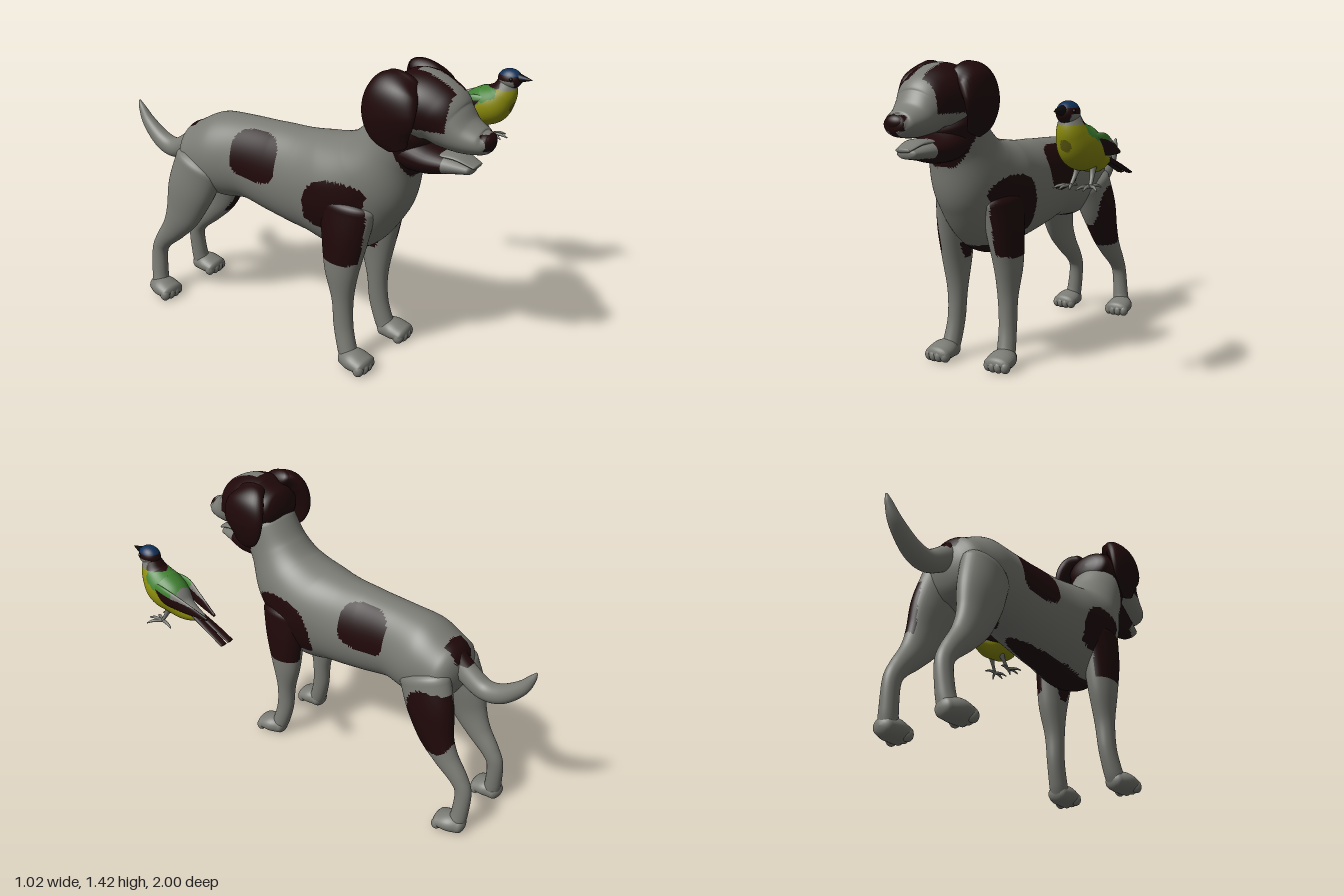
import * as THREE from 'three';

const mat = (name, color) => {
  const m = new THREE.MeshStandardMaterial({ color });
  m.name = name;
  return m;
};

// Smooth closed tube through sections [x, y, z, halfWidth, upperDepth, lowerDepth] with rounded ends.
function loft(sections, { rings = 44, sides = 32, cap = 0.6 } = {}) {
  const spine = new THREE.CatmullRomCurve3(sections.map(s => new THREE.Vector3(s[0], s[1], s[2])));
  const radii = new THREE.CatmullRomCurve3(sections.map(s => new THREE.Vector3(s[3], s[4], s[5] ?? s[4])));
  spine.curveType = radii.curveType = 'catmullrom';
  const steps = [], capRings = 5;
  for (let k = 0; k < capRings; k++) steps.push([0, k / capRings - 1]);
  for (let k = 0; k <= rings; k++) steps.push([k / rings, 0]);
  for (let k = 1; k <= capRings; k++) steps.push([1, k / capRings]);
  const pos = [], index = [];
  for (const [t, e] of steps) {
    const T = spine.getTangent(t), r = radii.getPoint(t);
    const S = new THREE.Vector3(1, 0, 0).addScaledVector(T, -T.x).normalize();
    const U = T.clone().cross(S);
    const a = e * Math.PI / 2, k = Math.cos(a);
    const c = spine.getPoint(t).addScaledVector(T, Math.sin(a) * cap * Math.min(r.x, r.y));
    for (let j = 0; j < sides; j++) {
      const b = j / sides * Math.PI * 2, depth = Math.sin(b) > 0 ? r.y : r.z;
      const p = c.clone().addScaledVector(S, r.x * k * Math.cos(b)).addScaledVector(U, depth * k * Math.sin(b));
      pos.push(p.x, p.y, p.z);
    }
  }
  for (let i = 0; i < steps.length - 1; i++) for (let j = 0; j < sides; j++) {
    const a = i * sides + j, b = i * sides + (j + 1) % sides;
    index.push(a, b, a + sides, b, b + sides, a + sides);
  }
  const g = new THREE.BufferGeometry();
  g.setAttribute('position', new THREE.Float32BufferAttribute(pos, 3));
  g.setIndex(index);
  g.computeVertexNormals();
  return g;
}

// Sorts faces into material groups; rule(x, y, z) returns the material for a face centre.
function painted(geo, rule) {
  const p = geo.attributes.position, idx = geo.index.array, buckets = new Map();
  for (let i = 0; i < idx.length; i += 3) {
    const f = [idx[i], idx[i + 1], idx[i + 2]];
    const mean = get => f.reduce((s, v) => s + get(v), 0) / 3;
    const m = rule(mean(v => p.getX(v)), mean(v => p.getY(v)), mean(v => p.getZ(v)));
    if (!buckets.has(m)) buckets.set(m, []);
    buckets.get(m).push(...f);
  }
  const all = [], mats = [...buckets.keys()];
  mats.forEach((m, k) => {
    geo.addGroup(all.length, buckets.get(m).length, k);
    for (const v of buckets.get(m)) all.push(v);
  });
  geo.setIndex(all);
  return new THREE.Mesh(geo, mats);
}

function ball(x, y, z, rx, ry, rz, detail = 18) {
  return new THREE.SphereGeometry(1, detail, detail * 0.75).scale(rx, ry, rz).translate(x, y, z);
}

export function createModel() {
  const coat = mat('paleCoat', 0x7b7b75), brown = mat('darkBrown', 0x200809), dark = mat('eyeBlack', 0x0d0909);
  const yellow = mat('yellow', 0x8c8c0c), olive = mat('olive', 0x5f5c10), green = mat('green', 0x3f8030), blue = mat('blue', 0x0f3058);
  const model = new THREE.Group();
  const dog = new THREE.Group(), bird = new THREE.Group();
  dog.name = 'dog';
  bird.name = 'bird';
  dog.position.x = -0.275;
  bird.position.x = 0.405;
  model.add(dog, bird);

  const add = (group, name, geo, paint) => {
    const mesh = typeof paint === 'function' ? painted(geo, paint) : new THREE.Mesh(geo, paint);
    mesh.name = name;
    group.add(mesh);
  };
  const mirror = (rows, s) => rows.map(r => [r[0] * s, ...r.slice(1)]);

  // Coat markings shared by all dog parts; the thigh spot is on the left only
  const spot = (z, y, cz, cy, rz, ry, p) => Math.abs((z - cz) / rz) ** p + Math.abs((y - cy) / ry) ** p < 1;
  const markings = (x, y, z) => {
    const w = Math.abs(x);
    if (w > 0.06 && spot(z, y, -0.13, 0.895, 0.135, 0.11, 3.2)) return brown;
    if (w > (x > 0 ? 0.145 : 0.165) && spot(z, y, 0.365, 0.715, 0.19, 0.19, 2.6)) return brown;
    if (x > 0.11 && spot(z, y, -0.575, 0.59, 0.13, 0.165, 3)) return brown;
    if (w < 0.065 && z < -0.55 && z > -0.68 && y > 0.865) return brown;
    if (w < 0.085 && z < 0.45 && z > -0.37 && y < 0.59 - 0.1 * Math.min(z, 0.15) && y > 0.5) return brown;
    if (y > 0.955 && z > 0.5 + (1.4 - y) * 0.33) return brown;
    return coat;
  };
  const faceMarkings = (x, y, z) => {
    const w = Math.abs(x);
    if (z > 0.95 && y < 1.2 && w < (y > 1.135 ? 0.052 : 0.018)) return brown;
    if (z > 0.78 && y < 1.104 && w < 0.085) return brown;
    if (z > 0.83 || (z > 0.65 && w < 0.032 + Math.max(0, 1.27 - y) * 0.7)) return coat;
    return y < 1.2 && y > 1.09 && z > 0.65 ? coat : brown;
  };

  // Torso and neck
  add(dog, 'torso', loft([
    [0, 0.80, -0.56, 0.16, 0.15], [0, 0.81, -0.42, 0.178, 0.205], [0, 0.825, -0.25, 0.158, 0.205],
    [0, 0.81, -0.07, 0.165, 0.225], [0, 0.81, 0.10, 0.18, 0.228, 0.258], [0, 0.841, 0.274, 0.2, 0.222, 0.325],
    [0, 0.929, 0.428, 0.182, 0.185, 0.25], [0, 1.05, 0.53, 0.15, 0.155, 0.155], [0, 1.18, 0.60, 0.14, 0.135, 0.14],
  ], { rings: 124, sides: 88, cap: 0.5 }), markings);

  // Tail
  add(dog, 'tail', loft([
    [0, 0.89, -0.55, 0.05, 0.06], [0, 0.81, -0.655, 0.052, 0.055], [0, 0.765, -0.75, 0.05, 0.05],
    [0, 0.785, -0.84, 0.045, 0.047], [0, 0.86, -0.93, 0.033, 0.035], [0, 0.93, -0.975, 0.018, 0.02],
    [0, 0.968, -0.993, 0.006, 0.006],
  ]), markings);

  // Head, lower jaw, tongue and nose
  add(dog, 'head', loft([
    [0, 1.285, 0.53, 0.12, 0.09], [0, 1.275, 0.59, 0.155, 0.13], [0, 1.27, 0.67, 0.16, 0.145],
    [0, 1.245, 0.75, 0.14, 0.135], [0, 1.205, 0.81, 0.117, 0.11], [0, 1.175, 0.87, 0.10, 0.08],
    [0, 1.16, 0.94, 0.078, 0.056], [0, 1.162, 0.972, 0.056, 0.042],
  ], { rings: 80, sides: 72, cap: 0.45 }), faceMarkings);
  add(dog, 'lowerJaw', loft([
    [0, 1.07, 0.62, 0.125, 0.09], [0, 1.045, 0.72, 0.108, 0.068], [0, 1.04, 0.82, 0.078, 0.042],
    [0, 1.035, 0.90, 0.052, 0.024],
  ]), (x, y, z) => (z > 0.8 && y > 1.012 ? coat : brown));
  add(dog, 'tongue', loft([
    [0, 1.075, 0.74, 0.06, 0.014], [0, 1.078, 0.84, 0.056, 0.014], [0, 1.05, 0.925, 0.04, 0.01],
  ], { rings: 16 }), coat);
  add(dog, 'nose', ball(0, 1.17, 0.965, 0.05, 0.034, 0.032, 28), brown);

  const frontLeg = [
    [0.125, 0.78, 0.38, 0.078, 0.14], [0.14, 0.64, 0.375, 0.074, 0.115], [0.147, 0.48, 0.365, 0.062, 0.085],
    [0.145, 0.33, 0.37, 0.047, 0.052], [0.148, 0.2, 0.377, 0.041, 0.047], [0.155, 0.1, 0.40, 0.043, 0.045],
    [0.16, 0.05, 0.42, 0.045, 0.045],
  ];
  const hindLeg = [
    [0.112, 0.77, -0.49, 0.085, 0.14], [0.13, 0.63, -0.545, 0.077, 0.13], [0.14, 0.5, -0.595, 0.06, 0.1],
    [0.14, 0.4, -0.66, 0.05, 0.068], [0.138, 0.31, -0.74, 0.041, 0.047], [0.14, 0.24, -0.775, 0.037, 0.042],
    [0.15, 0.12, -0.775, 0.04, 0.042], [0.16, 0.05, -0.765, 0.045, 0.045],
  ];
  const ear = [
    [0.09, 1.38, 0.62, 0.045, 0.08], [0.15, 1.34, 0.61, 0.052, 0.115], [0.178, 1.26, 0.605, 0.038, 0.125],
    [0.178, 1.18, 0.615, 0.022, 0.105], [0.158, 1.11, 0.64, 0.014, 0.05],
  ];
  for (const s of [1, -1]) {
    const side = s > 0 ? 'left' : 'right';
    add(dog, side + 'FrontLeg', loft(mirror(frontLeg, s), { rings: 70, sides: 44 }), markings);
    add(dog, side + 'HindLeg', loft(mirror(hindLeg, s), { rings: 70, sides: 44 }), markings);
    add(dog, side + 'Ear', loft(mirror(ear, s)), brown);
    add(dog, side + 'Eye', ball(s * 0.088, 1.298, 0.782, 0.016, 0.016, 0.016), dark);

    // Paws with four shallow toes
    for (const [name, dz] of [['FrontPaw', 0], ['HindPaw', -1.19]]) {
      add(dog, side + name, loft(mirror([
        [0.16, 0.048, 0.40 + dz, 0.048, 0.042], [0.167, 0.052, 0.45 + dz, 0.066, 0.048], [0.17, 0.043, 0.51 + dz, 0.066, 0.037],
      ], s), { rings: 14 }), coat);
      for (let k = 0; k < 4; k++) {
        const u = k - 1.5;
        add(dog, side + name + 'Toe', ball(s * (0.17 + u * 0.03), 0.035, 0.515 + dz - Math.abs(u) * 0.008, 0.024, 0.03, 0.026), coat);
      }
    }
  }

  // Bird body
  add(bird, 'birdBody', loft([
    [0, 1.01, 0.39, 0.018, 0.018], [0, 1.015, 0.50, 0.05, 0.058], [0, 1.055, 0.58, 0.08, 0.088],
    [0, 1.085, 0.65, 0.085, 0.095], [0, 1.14, 0.70, 0.066, 0.07], [0, 1.20, 0.72, 0.042, 0.046],
  ], { rings: 64, sides: 52 }), (x, y, z) => {
    if (y > 1.17) return z > 0.7 ? coat : brown;
    if (z < 0.69 && y > 1.0 + (z - 0.4) * 0.45) return z > 0.52 ? green : coat;
    if (z > 0.65 && Math.hypot(x, y - 1.085) < 0.025) return olive;
    return yellow;
  });

  // Bird head with cap, mask and cheeks, and a beak with a blue ridge
  add(bird, 'birdHead', ball(0, 1.217, 0.73, 0.046, 0.048, 0.058, 48), (x, y, z) => {
    const w = Math.abs(x);
    if (y > 1.236 || (z > 0.76 && y > 1.222 + w)) return blue;
    if (w > 0.026 && y < 1.214 && z > 0.69 && z < 0.765) return coat;
    return brown;
  });
  add(bird, 'beak', new THREE.ConeGeometry(0.026, 0.08, 24, 8).rotateX(Math.PI / 2).translate(0, 1.226, 0.803),
    (x, y, z) => (y > 1.23 && z < 0.82 ? blue : dark));

  for (const s of [1, -1]) {
    const side = s > 0 ? 'left' : 'right';
    // Folded wing, green at the shoulder with a pale upper bar
    add(bird, side + 'Wing', loft(mirror([
      [0.064, 1.1, 0.64, 0.014, 0.033], [0.069, 1.085, 0.56, 0.014, 0.044], [0.049, 1.06, 0.46, 0.011, 0.033],
      [0.024, 1.032, 0.335, 0.006, 0.008],
    ], s)), (x, y, z) => {
      if (z < 0.38 || y < 1.057 + (z - 0.34) * 0.2) return brown;
      return z > 0.52 ? green : coat;
    });
    add(bird, side + 'TailFeather', loft(mirror([
      [0.014, 1.02, 0.45, 0.015, 0.01], [0.018, 0.975, 0.33, 0.018, 0.007], [0.021, 0.935, 0.235, 0.018, 0.005],
    ], s), { rings: 14, sides: 18 }), brown);
    add(bird, side + 'BirdEye', ball(s * 0.04, 1.225, 0.752, 0.008, 0.008, 0.008), dark);

    // Thin leg and four spread toes
    add(bird, side + 'BirdLeg', loft(mirror([
      [0.035, 0.99, 0.59, 0.016, 0.018], [0.04, 0.955, 0.605, 0.01, 0.01], [0.045, 0.915, 0.63, 0.008, 0.008],
    ], s), { rings: 12, sides: 14 }), coat);
    for (const [deg, len] of [[-25, 0.07], [8, 0.08], [48, 0.075], [170, 0.07]]) {
      const a = deg * Math.PI / 180, dx = Math.sin(a) * len, dz = Math.cos(a) * len;
      add(bird, side + 'BirdToe', loft(mirror([
        [0.045, 0.915, 0.63, 0.008, 0.008], [0.045 + dx * 0.6, 0.916, 0.63 + dz * 0.6, 0.007, 0.007],
        [0.045 + dx, 0.906, 0.63 + dz, 0.003, 0.003],
      ], s), { rings: 8, sides: 10 }), coat);
    }
  }
  return model;
}
